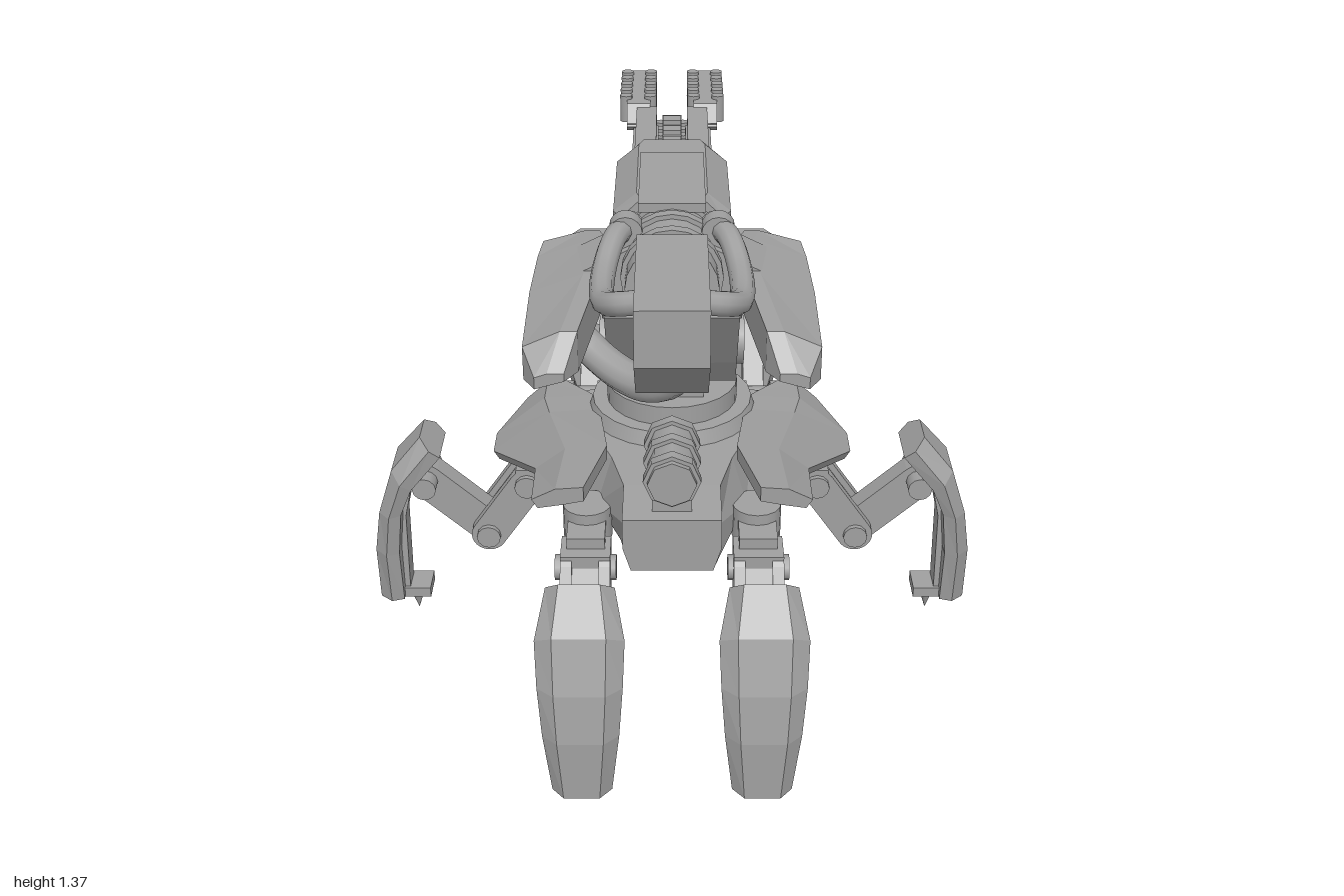
import * as THREE from 'three';

const metal = new THREE.MeshStandardMaterial({ color: 0xa0a0a0 });
metal.name = 'plain grey metal';
const V = (x, y, z) => new THREE.Vector3(x, y, z);

function add(group, name, geo) {
  const mesh = new THREE.Mesh(geo, metal);
  mesh.name = name;
  group.add(mesh);
  return mesh;
}

// Box given by its limits
function box(g, name, x0, x1, y0, y1, z0, z1) {
  const geo = new THREE.BoxGeometry(Math.abs(x1 - x0), y1 - y0, Math.abs(z1 - z0));
  return add(g, name, geo.translate((x0 + x1) / 2, (y0 + y1) / 2, (z0 + z1) / 2));
}

// Cylinder along a chosen axis
function cyl(g, name, axis, r, len, x, y, z, seg = 16, r2 = r) {
  const geo = new THREE.CylinderGeometry(r, r2, len, seg);
  if (axis === 'x') geo.rotateZ(Math.PI / 2);
  if (axis === 'z') geo.rotateX(Math.PI / 2);
  return add(g, name, geo.translate(x, y, z));
}

// Faceted solid through rings of points, capped at both ends
function loft(g, name, rings) {
  const n = rings[0].length, tris = [];
  for (let i = 0; i + 1 < rings.length; i++) {
    for (let j = 0; j < n; j++) {
      const k = (j + 1) % n, a = rings[i], b = rings[i + 1];
      tris.push([a[j], a[k], b[k]], [a[j], b[k], b[j]]);
    }
  }
  const ends = [rings[0], rings[rings.length - 1]];
  ends.forEach((ring, e) => {
    const c = V(0, 0, 0);
    ring.forEach(p => c.addScaledVector(p, 1 / n));
    for (let j = 0; j < n; j++) {
      const p = ring[j], q = ring[(j + 1) % n];
      tris.push(e ? [c, p, q] : [c, q, p]);
    }
  });
  // Turn the faces outward
  let volume = 0;
  for (const [a, b, c] of tris) volume += a.dot(b.clone().cross(c));
  if (volume < 0) tris.forEach(t => t.reverse());
  const geo = new THREE.BufferGeometry().setFromPoints(tris.flat());
  geo.computeVertexNormals();
  return add(g, name, geo);
}

// Side profile in (z, y), extruded to a width along x
function slab(g, name, profile, x, width) {
  const shape = profile instanceof THREE.Shape ? profile
    : new THREE.Shape(profile.map(p => new THREE.Vector2(p[0], p[1])));
  const geo = new THREE.ExtrudeGeometry(shape, { depth: width, bevelEnabled: false, curveSegments: 6 });
  return add(g, name, geo.translate(0, 0, -width / 2).rotateY(-Math.PI / 2).translate(x, 0, 0));
}

// Round-ended link between two joints in the side plane
function link(g, name, a, b, r, x, width) {
  const t = Math.atan2(b[1] - a[1], b[0] - a[0]), s = new THREE.Shape();
  s.absarc(b[0], b[1], r, t - Math.PI / 2, t + Math.PI / 2);
  s.absarc(a[0], a[1], r, t + Math.PI / 2, t + Math.PI * 1.5);
  s.closePath();
  return slab(g, name, s, x, width);
}

function hose(g, name, pts, r) {
  const curve = new THREE.CatmullRomCurve3(pts.map(p => V(...p)));
  return add(g, name, new THREE.TubeGeometry(curve, 28, r, 10));
}

// Two links with pins; joints are (z, y) pairs
function limb(g, hip, knee, ankle, x) {
  for (const o of [-0.05, 0.05]) link(g, 'thighPlate', hip, knee, 0.05, x + o, 0.03);
  link(g, 'thighCore', hip, knee, 0.033, x, 0.08);
  link(g, 'calfLink', knee, ankle, 0.052, x, 0.065);
  for (const p of [hip, knee, ankle]) cyl(g, 'jointPin', 'x', 0.034, 0.16, x, p[1], p[0], 12);
}

// Standard leg reaching along +z
function makeLeg() {
  const g = new THREE.Group();
  g.name = 'leg';
  box(g, 'hipBlock', -0.05, 0.05, 0.48, 0.55, 0.2, 0.4);
  cyl(g, 'hipSwivel', 'y', 0.065, 0.1, 0, 0.53, 0.27);
  box(g, 'hipHousing', -0.065, 0.065, 0.44, 0.52, 0.34, 0.44);
  limb(g, [0.41, 0.47], [0.525, 0.305], [0.7, 0.465], 0);
  // Outer point, inner point and half width down the shin
  const rows = [[0.705, 0.62, 0.65, 0.565, 0.085], [0.79, 0.52, 0.735, 0.47, 0.11], [0.835, 0.38, 0.77, 0.385, 0.105],
    [0.855, 0.25, 0.785, 0.25, 0.095], [0.855, 0.08, 0.785, 0.08, 0.075]];
  loft(g, 'shinArmour', rows.map(([oz, oy, iz, iy, w]) => {
    const mz = (oz + iz) / 2, my = (oy + iy) / 2;
    return [V(-w * 0.6, oy, oz), V(w * 0.6, oy, oz), V(w, my, mz), V(w * 0.85, iy, iz), V(-w * 0.85, iy, iz), V(-w, my, mz)];
  }));
  slab(g, 'shinRib', [[0.67, 0.55], [0.74, 0.46], [0.765, 0.35], [0.77, 0.09], [0.8, 0.09], [0.8, 0.4], [0.74, 0.54]], 0, 0.07);
  box(g, 'foot', -0.045, 0.045, 0.075, 0.105, 0.71, 0.85);
  cyl(g, 'footSpike', 'y', 0.022, 0.065, 0, 0.0425, 0.755, 10, 0.001);
  return g;
}

// Rear leg with its tall ribbed shield, s = side
function makeRearLeg(s) {
  const g = new THREE.Group();
  g.name = 'rearLeg';
  const x = s * 0.26;
  box(g, 'rearHipBlock', s * 0.12, s * 0.28, 0.5, 0.58, -0.22, -0.02);
  cyl(g, 'rearHipSwivel', 'y', 0.07, 0.11, s * 0.22, 0.54, -0.13);
  limb(g, [-0.27, 0.53], [-0.5, 0.3], [-0.72, 0.54], x);
  for (const o of [-0.075, 0.075]) cyl(g, 'pinCap', 'x', 0.045, 0.025, x + o, 0.3, -0.5, 12);
  // Height, inner x, outer x, inner z, outer z
  const rows = [[0.82, 0.17, 0.35, -0.76, -0.89], [0.66, 0.14, 0.405, -0.77, -0.905], [0.42, 0.14, 0.37, -0.77, -0.9],
    [0.12, 0.145, 0.29, -0.755, -0.87], [0.075, 0.16, 0.27, -0.75, -0.8]];
  loft(g, 'shield', rows.map(([y, a, b, zi, zo]) =>
    [V(s * a, y, zi), V(s * a, y, zo), V(s * (b - 0.05), y, zo), V(s * b, y, zi - 0.04), V(s * (b - 0.02), y, zi)]));
  loft(g, 'shieldHood', [[-0.6, 0.82, 0.86, 0.15, 0.34], [-0.64, 0.81, 0.873, 0.14, 0.37], [-0.8, 0.78, 0.825, 0.15, 0.4],
    [-0.915, 0.74, 0.79, 0.16, 0.34]].map(([z, y0, y1, a, b]) =>
    [V(s * a, y0, z), V(s * a, y1, z), V(s * (b - 0.03), y1, z), V(s * b, y0, z)]));
  for (let i = 0; i < 4; i++) {
    slab(g, 'shieldRib', [[-0.64, 0.882], [-0.925, 0.795], [-0.918, 0.42], [-0.885, 0.12], [-0.82, 0.075], [-0.8, 0.1], [-0.87, 0.45], [-0.88, 0.76], [-0.64, 0.85]],
      s * (0.175 + i * 0.034), 0.02);
  }
  for (const o of [0.19, 0.31]) slab(g, 'shieldFrame', [[-0.71, 0.6], [-0.71, 0.48], [-0.75, 0.4], [-0.74, 0.1], [-0.78, 0.1], [-0.79, 0.7]], s * (o - 0.02), 0.03);
  box(g, 'rearFoot', s * 0.17, s * 0.26, 0.08, 0.115, -0.67, -0.82);
  cyl(g, 'rearFootSpike', 'y', 0.035, 0.06, s * 0.215, 0.05, -0.73, 10, 0.001);
  return g;
}

function makeHull() {
  const g = new THREE.Group();
  g.name = 'hull';
  // z, half widths at bottom, middle, top, and heights
  const rows = [[0.66, 0.105, 0.125, 0.125, 0.535, 0.6, 0.685], [0.5, 0.11, 0.125, 0.125, 0.43, 0.57, 0.69], [0.36, 0.14, 0.2, 0.16, 0.43, 0.55, 0.69],
    [0.2, 0.2, 0.3, 0.22, 0.43, 0.55, 0.69], [-0.03, 0.2, 0.3, 0.22, 0.43, 0.55, 0.68], [-0.12, 0.15, 0.25, 0.18, 0.44, 0.56, 0.67], [-0.28, 0.09, 0.13, 0.1, 0.59, 0.62, 0.65]];
  loft(g, 'hullBody', rows.map(([z, a, b, c, y0, y1, y2]) =>
    [V(-a, y0, z), V(a, y0, z), V(b, y1, z), V(c, y2, z), V(-c, y2, z), V(-b, y1, z)]));
  for (const s of [-1, 1]) {
    // Sloping side armour: z, then inner, ridge and outer points
    const wing = [[0.65, 0.22, 0.775, 0.29, 0.77, 0.35, 0.74], [0.4, 0.17, 0.75, 0.28, 0.74, 0.36, 0.68], [0.13, 0.2, 0.71, 0.34, 0.7, 0.5, 0.575],
      [0.03, 0.22, 0.7, 0.36, 0.69, 0.5, 0.575], [-0.1, 0.31, 0.68, 0.36, 0.675, 0.42, 0.62]];
    loft(g, 'sideArmour', wing.map(([z, a, ya, b, yb, c, yc]) => [V(s * a, ya, z), V(s * b, yb, z), V(s * c, yc, z),
      V(s * (c - 0.015), yc - 0.025, z), V(s * (b - 0.02), yb - 0.045, z), V(s * a, ya - 0.04, z)]));
    box(g, 'armourBracket', s * 0.15, s * 0.33, 0.6, 0.67, 0.02, 0.2);
    box(g, 'deckRail', s * 0.12, s * 0.17, 0.64, 0.69, -0.22, -0.05);
  }
  // Canister on the front deck
  cyl(g, 'canister', 'z', 0.062, 0.24, 0, 0.775, 0.52, 8);
  for (const z of [0.43, 0.52, 0.61]) cyl(g, 'canisterBand', 'z', 0.073, 0.03, 0, 0.775, z, 8);
  box(g, 'canisterCradle', -0.05, 0.05, 0.68, 0.73, 0.42, 0.62);
  cyl(g, 'turntableBase', 'y', 0.22, 0.06, 0, 0.7, 0.08, 24, 0.24);
  cyl(g, 'turntable', 'y', 0.18, 0.06, 0, 0.755, 0.08, 24);
  return g;
}

function makeTurret() {
  const g = new THREE.Group();
  g.name = 'turret';
  // Neck
  slab(g, 'neckColumn', [[-0.02, 0.78], [0.2, 0.78], [0.2, 0.93], [0.14, 1.03], [0.04, 1.03], [-0.02, 0.95]], 0, 0.17);
  for (const s of [-1, 1]) {
    slab(g, 'neckArm', [[0.36, 1.1], [0.33, 1.2], [0.17, 1.2], [0.13, 1.1], [-0.03, 0.98], [-0.04, 0.88], [0.03, 0.81], [0.15, 0.81], [0.22, 0.9]], s * 0.135, 0.075);
    cyl(g, 'neckPivot', 'x', 0.075, 0.03, s * 0.18, 0.91, 0.08, 12);
    hose(g, 'backHose', [[s * 0.06, 0.8, -0.05], [s * 0.06, 0.88, -0.09], [s * 0.06, 0.98, -0.09], [s * 0.06, 1.02, -0.03]], 0.026);
  }
  cyl(g, 'elevationPivot', 'x', 0.085, 0.36, 0, 1.14, 0.25);
  // Gun housing
  slab(g, 'counterweight', [[0.905, 1.38], [0.48, 1.38], [0.44, 1.3], [0.46, 1.1], [0.76, 1.1], [0.905, 1.24]], 0, 0.17);
  cyl(g, 'coreDrum', 'z', 0.115, 0.4, 0, 1.245, 0.3, 20);
  for (const z of [0.24, 0.32, 0.42]) cyl(g, 'drumRing', 'z', 0.127, 0.03, 0, 1.245, z, 20);
  loft(g, 'gunHousing', [[0.2, 0.13], [0.16, 0.152], [-0.2, 0.152], [-0.24, 0.13]].map(([z, w]) =>
    [V(-w, 1.24, z), V(w, 1.24, z), V(w, 1.31, z), V(w * 0.6, 1.36, z), V(-w * 0.6, 1.36, z), V(-w, 1.31, z)]));
  box(g, 'topPlate', -0.085, 0.085, 1.35, 1.375, -0.1, 0.27);
  box(g, 'lowerHousing', -0.12, 0.12, 1.11, 1.25, -0.1, 0.14);
  for (const s of [-1, 1]) {
    // Side armour pods
    const rows = [[0.76, 0.25, 0.32, 1.11, 1.14, 1.15], [0.7, 0.22, 0.35, 1.105, 1.19, 1.23], [0.4, 0.18, 0.355, 1.11, 1.19, 1.24],
      [0.18, 0.17, 0.35, 1.12, 1.19, 1.24], [0.1, 0.19, 0.34, 1.14, 1.2, 1.23]];
    loft(g, 'sidePod', rows.map(([z, a, b, y0, y1, y2]) => [V(s * a, y0 + 0.02, z), V(s * b, y0, z), V(s * b, y1, z), V(s * (a + 0.04), y2, z), V(s * a, y2, z)]));
    loft(g, 'podStrut', [[0.1, 1.18, 1.3], [0.25, 1.16, 1.225]].map(([x, y0, y1]) =>
      [V(s * x, y0, 0.2), V(s * x, y1, 0.2), V(s * x, y1, 0.38), V(s * x, y0, 0.38)]));
    hose(g, 'feedHose', [[s * 0.06, 1.33, 0.75], [s * 0.12, 1.31, 0.72], [s * 0.16, 1.28, 0.64], [s * 0.165, 1.29, 0.5], [s * 0.14, 1.33, 0.38], [s * 0.1, 1.33, 0.28]], 0.03);
    cyl(g, 'hoseCollar', 'z', 0.042, 0.05, s * 0.115, 1.33, 0.33);
    // Upper barrels with rails and vented muzzles
    box(g, 'upperBarrel', s * 0.045, s * 0.105, 1.265, 1.32, -0.64, -0.22);
    box(g, 'barrelRail', s * 0.04, s * 0.115, 1.24, 1.26, -0.64, -0.22);
    slab(g, 'muzzleTop', [[-0.6, 1.27], [-0.64, 1.33], [-0.96, 1.33], [-1, 1.31], [-1, 1.29], [-0.66, 1.28]], s * 0.1, 0.07);
    slab(g, 'muzzleBottom', [[-0.6, 1.28], [-0.63, 1.25], [-1, 1.25], [-1, 1.27], [-0.66, 1.27]], s * 0.1, 0.07);
    box(g, 'muzzleTip', s * 0.05, s * 0.14, 1.25, 1.315, -1, -0.96);
    box(g, 'muzzleCore', s * 0.08, s * 0.12, 1.26, 1.3, -0.97, -0.62);
    for (let i = 0; i < 5; i++) {
      for (const x of [0.065, 0.138]) cyl(g, 'muzzleStud', 'y', 0.019, 0.08, s * x, 1.3, -0.69 - i * 0.058, 10);
    }
  }
  // Lower barrel
  box(g, 'lowerBarrel', -0.04, 0.04, 1.1, 1.18, -0.66, -0.08);
  slab(g, 'lowerMuzzle', [[-0.62, 1.11], [-0.65, 1.18], [-0.97, 1.18], [-1, 1.16], [-1, 1.11], [-0.96, 1.09], [-0.64, 1.09]], 0, 0.06);
  for (let i = 0; i < 9; i++) box(g, 'barrelNub', -0.028, 0.028, 1.17, 1.195, -0.16 - i * 0.095, -0.115 - i * 0.095);
  for (let i = 0; i < 5; i++) {
    for (const x of [-0.035, 0.035]) cyl(g, 'lowerStud', 'y', 0.018, 0.11, x, 1.12, -0.69 - i * 0.058, 10);
  }
  // Cooling hose hanging below the gun
  cyl(g, 'hoseSocket', 'y', 0.062, 0.05, 0, 1.08, 0.55);
  hose(g, 'coolingHose', [[0, 1.1, 0.55], [0, 1.02, 0.54], [-0.07, 0.98, 0.49], [-0.19, 1, 0.37], [-0.27, 1.07, 0.27], [-0.22, 1.12, 0.2]], 0.045);
  hose(g, 'neckHose', [[-0.2, 1.1, 0.2], [-0.27, 1.05, 0.17], [-0.26, 0.95, 0.13], [-0.15, 0.89, 0.09]], 0.043);
  return g;
}

export function createModel() {
  const model = new THREE.Group();
  model.name = 'walkingGunPlatform';
  model.add(makeHull(), makeTurret());
  for (const s of [-1, 1]) {
    const front = makeLeg();
    front.name = 'frontLeg';
    front.position.set(s * 0.225, 0, 0.14);
    const side = makeLeg();
    side.name = 'sideLeg';
    side.rotation.y = s * Math.PI / 2;
    side.position.z = 0.08;
    model.add(front, side, makeRearLeg(s));
  }
  return model;
}
